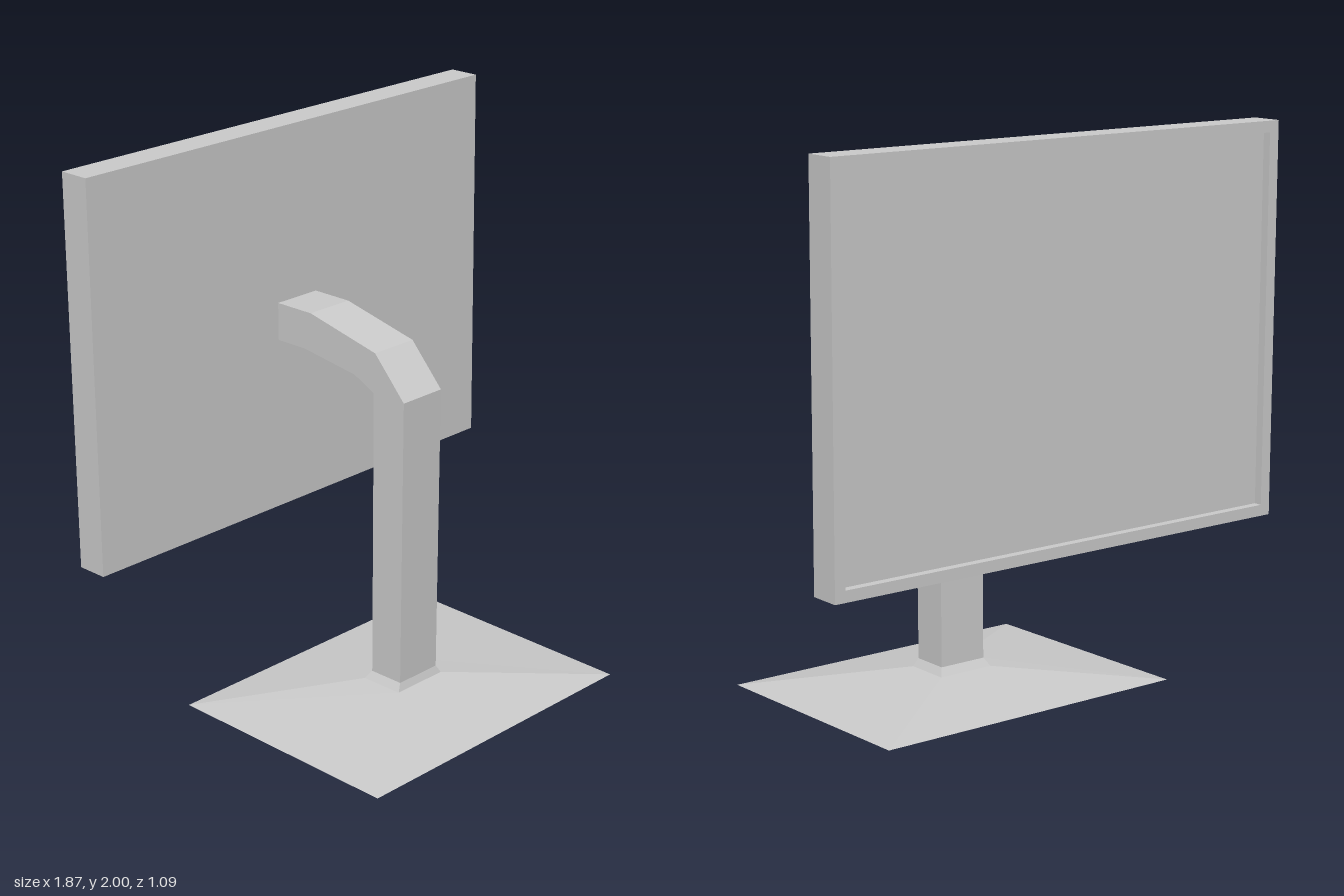
import * as THREE from 'three';

const material = new THREE.MeshStandardMaterial({ color: 0xcccccc, flatShading: true });

function part(name, geometry) {
  const mesh = new THREE.Mesh(geometry, material);
  mesh.name = name;
  return mesh;
}

// Rectangular rings stacked upwards: each is [halfWidth, frontZ, backZ, frontY, backY]
function loft(rings) {
  const corners = rings.map(([w, zf, zb, yf, yb]) => [[-w, yf, zf], [w, yf, zf], [w, yb, zb], [-w, yb, zb]]);
  const pos = [];
  const quad = (a, b, c, d) => pos.push(...a, ...b, ...c, ...a, ...c, ...d);
  for (let i = 0; i < corners.length - 1; i++) {
    const lo = corners[i], hi = corners[i + 1];
    for (let j = 0; j < 4; j++) {
      const k = (j + 1) % 4;
      quad(lo[j], lo[k], hi[k], hi[j]);
    }
  }
  const bottom = corners[0], top = corners[corners.length - 1];
  quad(bottom[0], bottom[3], bottom[2], bottom[1]);
  quad(...top);
  const g = new THREE.BufferGeometry();
  g.setAttribute('position', new THREE.Float32BufferAttribute(pos, 3));
  g.computeVertexNormals();
  return g;
}

function rectangle(PathType, x, y0, y1) {
  return new PathType([[-x, y0], [x, y0], [x, y1], [-x, y1]].map(([a, b]) => new THREE.Vector2(a, b)));
}

export function createModel() {
  const model = new THREE.Group();
  model.name = 'monitor';

  // Low pyramid foot with a small sloped collar around the arm
  model.add(part('base', loft([
    [0.613, 0.54, -0.38, 0, 0.013],
    [0.11, 0.165, 0.0, 0.066, 0.066],
  ])));
  model.add(part('collar', loft([
    [0.11, 0.165, 0.0, 0.066, 0.066],
    [0.093, 0.156, 0.02, 0.095, 0.095],
  ])));

  // Bent arm: side profile as (z, y), extruded across x
  const profile = [
    [0.156, 0.09], [0.17, 1.155], [0.037, 1.302], [-0.27, 1.372], [-0.43, 1.372],
    [-0.43, 1.235], [-0.30, 1.235], [-0.06, 1.2], [0.03, 1.155], [0.02, 0.09],
  ].map(([z, y]) => new THREE.Vector2(z, y));
  const arm = new THREE.ExtrudeGeometry(new THREE.Shape(profile), { depth: 0.186, bevelEnabled: false });
  arm.translate(0, 0, -0.093).rotateY(-Math.PI / 2);
  model.add(part('arm', arm));

  // Panel housing with a bezel opening towards the back
  const outline = rectangle(THREE.Shape, 0.935, 0.605, 2);
  outline.holes.push(rectangle(THREE.Path, 0.895, 0.645, 1.96));
  const frame = new THREE.ExtrudeGeometry(outline, { depth: 0.115, bevelEnabled: false });
  frame.translate(0, 0, -0.545);
  model.add(part('housing', frame));

  // Recessed screen filling the opening
  const screen = new THREE.BoxGeometry(1.79, 1.315, 0.085);
  screen.translate(0, 1.3025, -0.4725);
  model.add(part('screen', screen));

  return model;
}
